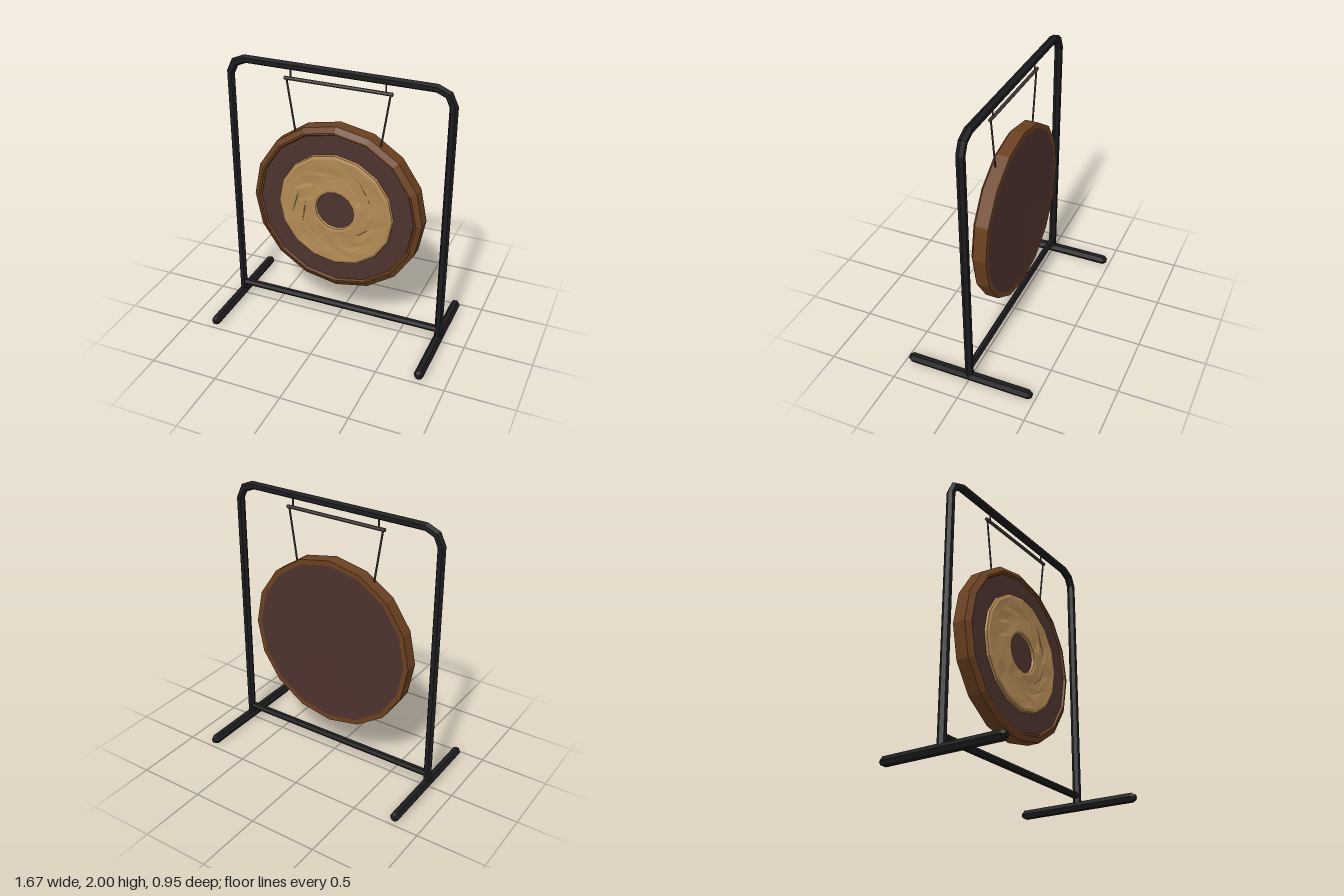
import * as THREE from 'three';

const GONG_Y = 0.95;
const SIDES = 16;

function material(name, color, side = THREE.FrontSide) {
  const m = new THREE.MeshStandardMaterial({ color, flatShading: true, side });
  m.name = name;
  return m;
}

// Faceted disc or ring whose axis points to +z
function turned(points) {
  const profile = points.map(([r, z]) => new THREE.Vector2(r, z));
  return new THREE.LatheGeometry(profile, SIDES).rotateX(Math.PI / 2);
}

// Straight rod between two points
function rod(a, b, radius, sides = 6) {
  const from = new THREE.Vector3(...a);
  const dir = new THREE.Vector3(...b).sub(from);
  const g = new THREE.CylinderGeometry(radius, radius, dir.length(), sides);
  g.translate(0, dir.length() / 2, 0);
  g.applyQuaternion(new THREE.Quaternion().setFromUnitVectors(
    new THREE.Vector3(0, 1, 0), dir.clone().normalize()));
  return g.translate(...a);
}

// Hexagonal pipe mitred along a path in the xy plane
function mitredPipe(path, radius) {
  const pts = path.map(([x, y]) => new THREE.Vector2(x, y));
  const pos = [], index = [];
  pts.forEach((p, i) => {
    const before = p.clone().sub(pts[Math.max(i - 1, 0)]).normalize();
    const after = pts[Math.min(i + 1, pts.length - 1)].clone().sub(p).normalize();
    const t = before.clone().add(after).normalize();
    const stretch = 1 / Math.max(t.dot(i ? before : after), 0.5);
    for (let k = 0; k < 6; k++) {
      const a = k * Math.PI / 3;
      const w = Math.cos(a) * radius * stretch;
      pos.push(p.x - t.y * w, p.y + t.x * w, Math.sin(a) * radius);
      if (i) {
        const c = i * 6 + k, d = i * 6 + (k + 1) % 6;
        index.push(c - 6, d - 6, d, c - 6, d, c);
      }
    }
  });
  const g = new THREE.BufferGeometry();
  g.setAttribute('position', new THREE.Float32BufferAttribute(pos, 3));
  g.setIndex(index);
  g.computeVertexNormals();
  return g;
}

export function createModel() {
  const model = new THREE.Group();
  model.name = 'gongOnStand';

  const black = material('blackMetal', 0x1c1c1e, THREE.DoubleSide);
  const cordGrey = material('cordBrownGrey', 0x4d433e);
  const rimBrown = material('rimBronze', 0x6b4020);
  const darkBrown = material('darkBronze', 0x4d332e);
  const gold = material('hammeredGold', 0xb38a56);

  const add = (parent, name, geometry, mat) => {
    const mesh = new THREE.Mesh(geometry, mat);
    mesh.name = name;
    parent.add(mesh);
    return mesh;
  };

  // Stand
  const stand = new THREE.Group();
  stand.name = 'stand';
  model.add(stand);
  add(stand, 'archFrame', mitredPipe([
    [-0.8, 0.03], [-0.8, 1.86], [-0.764, 1.936], [-0.685, 1.97],
    [0.685, 1.97], [0.764, 1.936], [0.8, 1.86], [0.8, 0.03],
  ], 0.03), black);
  const crossbar = new THREE.CylinderGeometry(0.026, 0.026, 1.58, 6).rotateZ(Math.PI / 2);
  add(stand, 'crossbar', crossbar.translate(0, 0.11, 0), black);

  // Feet with chamfered ends
  for (const side of [-1, 1]) {
    const profile = [[0, -0.475], [0.02, -0.475], [0.036, -0.45],
      [0.036, 0.45], [0.02, 0.475], [0, 0.475]].map(([r, z]) => new THREE.Vector2(r, z));
    const foot = new THREE.LatheGeometry(profile, 6, Math.PI / 6).rotateX(Math.PI / 2);
    add(stand, side > 0 ? 'leftFoot' : 'rightFoot', foot.translate(side * 0.8, 0.0315, 0), black);
  }

  // Hanger
  const hanger = new THREE.Group();
  hanger.name = 'hanger';
  model.add(hanger);
  add(hanger, 'hangerBar', rod([-0.39, 1.878, 0], [0.39, 1.878, 0], 0.013), cordGrey);
  for (const s of [-1, 1]) {
    add(hanger, 'hangerLink', rod([s * 0.342, 1.875, 0], [s * 0.342, 1.95, 0], 0.006), cordGrey);
    add(hanger, 'cord', rod([s * 0.375, 1.88, 0], [s * 0.312, 1.46, 0], 0.007), cordGrey);
  }

  // Gong
  const gong = new THREE.Group();
  gong.name = 'gong';
  gong.position.y = GONG_Y;
  model.add(gong);
  add(gong, 'rim', turned([
    [0.605, -0.07], [0.642, -0.07], [0.642, 0.025], [0.605, 0.05], [0.592, 0.05], [0.582, 0.034],
  ]), rimBrown);
  add(gong, 'frontFace', turned([[0.585, 0.035], [0, 0.035]]), darkBrown);
  add(gong, 'backFace', turned([[0, -0.064], [0.606, -0.07]]), darkBrown);

  // Raised ring: the broad middle is twisted and dented like hammered metal
  const ring = turned([
    [0.437, 0.035], [0.432, 0.052], [0.412, 0.06], [0.35, 0.056], [0.29, 0.053],
    [0.23, 0.055], [0.164, 0.06], [0.147, 0.055], [0.142, 0.035],
  ]);
  const p = ring.attributes.position;
  for (let i = 0; i < p.count; i++) {
    const x = p.getX(i), y = p.getY(i), r = Math.hypot(x, y);
    if (r < 0.18 || r > 0.4) continue;
    const a = Math.atan2(y, x);
    const twist = a + (r - 0.29) * 2 + 0.12 * Math.sin(5 * a + r * 30);
    const rr = r + 0.012 * Math.sin(3 * a + r * 40);
    const dent = 0.004 * Math.sin(7 * a + r * 25) + 0.002 * Math.cos(4 * a);
    p.setXYZ(i, rr * Math.cos(twist), rr * Math.sin(twist), p.getZ(i) + dent);
  }
  ring.computeVertexNormals();
  add(gong, 'hammeredRing', ring, gold);

  return model;
}
